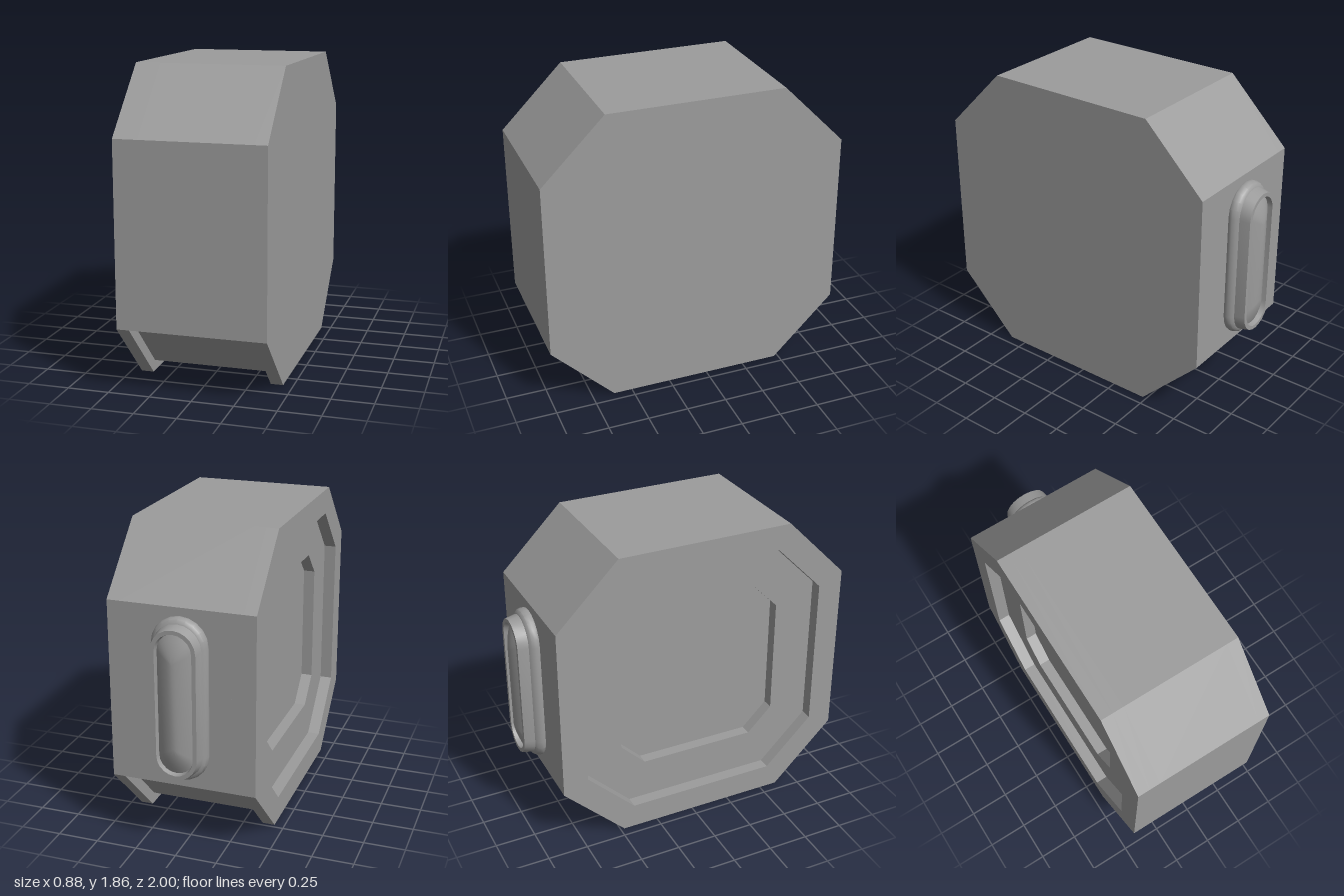
import * as THREE from 'three';
import { toCreasedNormals } from 'three/addons/utils/BufferGeometryUtils.js';

const material = new THREE.MeshStandardMaterial({ color: 0x9c9c9c });
const CZ = 0.07, CY = 0.93; // centre of the octagon in z and y

const point = (z, y) => new THREE.Vector2(CZ + z, CY + y);

// Octagon (z, y) with half size h and corner cut c
function octagon(h, c) {
  const k = h - c;
  return [
    point(-k, -h), point(k, -h), point(h, -k), point(h, k),
    point(k, h), point(-k, h), point(-h, k), point(-h, -k),
  ];
}

// Slab between x0 (left) and x1 (right), with an optional octagonal opening
function slab(name, outline, x0, x1, hole) {
  const shape = new THREE.Shape(outline);
  if (hole) shape.holes.push(new THREE.Path(hole));
  const geo = new THREE.ExtrudeGeometry(shape, { depth: x0 - x1, bevelEnabled: false });
  geo.rotateY(-Math.PI / 2).translate(x0, 0, 0);
  const mesh = new THREE.Mesh(geo, material);
  mesh.name = name;
  return mesh;
}

// Stadium-shaped rings lofted through a profile of [radius, height, half straight length]
function stadiumLoft(profile, seg) {
  const pos = [], index = [], n = 2 * (seg + 1);
  for (const [r, h, straight] of profile) {
    for (let j = 0; j < n; j++) {
      const end = j > seg ? 1 : 0;
      const a = ((j - end) / seg) * Math.PI;
      pos.push(r * Math.cos(a), r * Math.sin(a) + (end ? -straight : straight), h);
    }
  }
  for (let i = 0; i < profile.length - 1; i++) {
    for (let j = 0; j < n; j++) {
      const a = i * n + j, b = i * n + ((j + 1) % n);
      index.push(a, b, b + n, a, b + n, a + n);
    }
  }
  const geo = new THREE.BufferGeometry();
  geo.setAttribute('position', new THREE.Float32BufferAttribute(pos, 3));
  geo.setIndex(index);
  return toCreasedNormals(geo, 0.5);
}

export function createModel() {
  const model = new THREE.Group();
  model.name = 'octagonalHousing';

  // Housing: the core's lower faces are sunk so the side plates form rims
  const outer = octagon(0.93, 0.385);
  const core = [
    point(-0.518, -0.865), point(0.518, -0.865), point(0.884, -0.499),
    ...[2, 3, 4, 5, 6, 7].map((i) => outer[i]), point(-0.884, -0.499),
  ];
  const wideRecess = octagon(0.775, 0.3);
  const deepRecess = octagon(0.522, 0.155);
  model.add(
    slab('leftPlate', outer, 0.44, 0.365),
    slab('core', core, 0.365, -0.295),
    slab('innerRecessFrame', core, -0.295, -0.365, deepRecess),
    slab('outerRecessFrame', outer, -0.365, -0.44, wideRecess),
  );

  // Back button: stepped collar, rim and domed cap
  const profile = [
    [0.164, 0.86, 0.327], [0.168, 0.868, 0.327], [0.168, 0.885, 0.327],
    [0.16, 0.905, 0.327], [0.147, 0.917, 0.327], [0.144, 0.92, 0.321],
    [0.134, 0.985, 0.316], [0.11, 0.985, 0.316], [0.104, 0.955, 0.316],
  ];
  for (let i = 1; i <= 6; i++) {
    const t = 1 - i / 6;
    profile.push([0.104 * t, 1 - 0.045 * t ** 1.6, 0.25 + 0.066 * t]);
  }
  const button = new THREE.Mesh(stadiumLoft(profile, 10), material);
  button.name = 'backButton';
  button.rotation.y = Math.PI;
  button.position.y = 0.935;
  model.add(button);

  return model;
}
